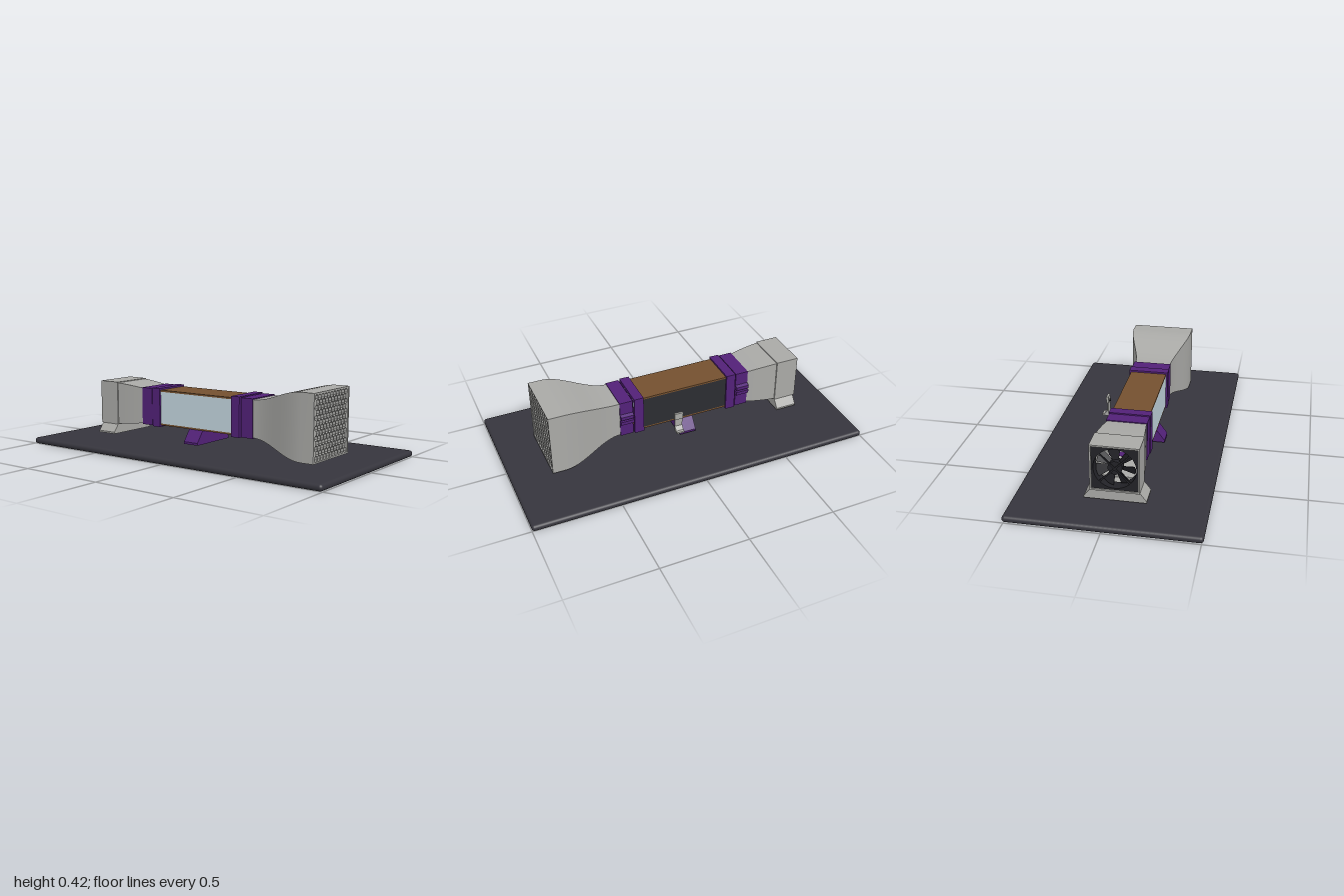
import * as THREE from 'three';
import { toCreasedNormals } from 'three/addons/utils/BufferGeometryUtils.js';
import { RoundedBoxGeometry } from 'three/addons/geometries/RoundedBoxGeometry.js';

const mat = (name, color) => {
  const m = new THREE.MeshStandardMaterial({ color });
  m.name = name;
  return m;
};

export function createModel() {
  const baseDark = mat('charcoal base', 0x36353d);
  const grey = mat('light grey plastic', 0xa9a9a6);
  const purple = mat('purple plastic', 0x522178);
  const wood = mat('brown wood', 0x74502f);
  const black = mat('black panel', 0x2b2c31);
  const glass = mat('pale glass', 0xc3d6df);
  const fanBlack = mat('fan black', 0x222227);

  const model = new THREE.Group();
  const tunnel = new THREE.Group(); // everything centred on the duct axis
  tunnel.name = 'windTunnel';
  tunnel.position.set(-0.025, 0.235, 0);
  model.add(tunnel);

  const add = (parent, name, geo, material, x = 0, y = 0, z = 0) => {
    const mesh = new THREE.Mesh(geo, material);
    mesh.name = name;
    mesh.position.set(x, y, z);
    parent.add(mesh);
    return mesh;
  };
  const box = (parent, name, material, w, h, d, x, y, z) =>
    add(parent, name, new THREE.BoxGeometry(w, h, d), material, x, y, z);
  const poly = (pts) => new THREE.Shape(pts.map(([x, y]) => new THREE.Vector2(x, y)));
  const square = (h) => [[-h, -h], [h, -h], [h, h], [-h, h]];
  const extrude = (shape, depth, curveSegments = 32) =>
    new THREE.ExtrudeGeometry(shape, { depth, bevelEnabled: false, curveSegments });

  // Hollow square duct along z from a list of [z, half width]
  const duct = (profile, wall) => {
    const outer = profile.map(([z, h]) => new THREE.Vector2(h * Math.SQRT2, z));
    const inner = profile.map(([z, h]) => new THREE.Vector2((h - wall) * Math.SQRT2, z)).reverse();
    const g = new THREE.LatheGeometry([...outer, ...inner, outer[0].clone()], 4);
    g.rotateY(Math.PI / 4);
    g.rotateX(Math.PI / 2);
    return toCreasedNormals(g, 0.6);
  };

  // Base plate
  add(model, 'basePlate', new RoundedBoxGeometry(1.02, 0.036, 2, 4, 0.017), baseDark, 0, 0.018, 0);

  // Inlet contraction with an S-shaped profile
  const inlet = [[0.262, 0.102], [0.335, 0.104]];
  for (let i = 0; i <= 18; i++) {
    const t = i / 18;
    inlet.push([0.345 + 0.355 * t, 0.106 + 0.079 * t * t * (3 - 2 * t)]);
  }
  inlet.push([0.775, 0.185]);
  add(tunnel, 'inletContraction', duct(inlet, 0.008), grey);

  // Honeycomb flow straightener
  const comb = poly(square(0.178));
  const pitch = 0.031, rowStep = pitch * 0.866, cell = pitch / Math.sqrt(3) - 0.0018;
  for (let r = -6; r <= 6; r++) {
    for (let c = -6; c <= 6; c++) {
      const cx = (c + (r % 2 ? 0.5 : 0)) * pitch, cy = r * rowStep;
      if (Math.abs(cx) > 0.16 || Math.abs(cy) > 0.165) continue;
      const hex = new THREE.Path();
      for (let k = 0; k < 6; k++) {
        const a = Math.PI / 6 - k * Math.PI / 3;
        const x = cx + cell * Math.cos(a);
        const y = THREE.MathUtils.clamp(cy + cell * Math.sin(a), -0.1765, 0.1765);
        if (k) hex.lineTo(x, y); else hex.moveTo(x, y);
      }
      hex.closePath();
      comb.holes.push(hex);
    }
  }
  add(tunnel, 'honeycomb', extrude(comb, 0.05), grey, 0, 0, 0.722);

  // Test section: four walls
  const len = 0.62, mid = -0.06;
  box(tunnel, 'topWall', wood, 0.21, 0.01, len, 0, 0.1, mid);
  box(tunnel, 'bottomWall', wood, 0.21, 0.01, len, 0, -0.1, mid);
  box(tunnel, 'leftWall', black, 0.01, 0.19, len, 0.1, 0, mid);
  box(tunnel, 'rightWindow', glass, 0.01, 0.19, len, -0.1, 0, mid);

  // Flange rings and split clamps with ears on the left side
  const flange = poly(square(0.115));
  flange.holes.push(poly(square(0.098)));
  const clamp = poly([
    [0.113, 0.006], [0.13, 0.006], [0.13, 0.026], [0.111, 0.034], [0.111, 0.111],
    [-0.111, 0.111], [-0.111, -0.111], [0.111, -0.111], [0.111, -0.034], [0.13, -0.026],
    [0.13, -0.006], [0.104, -0.006], [0.104, -0.104], [-0.104, -0.104],
    [-0.104, 0.104], [0.104, 0.104], [0.104, 0.006],
  ]);
  for (const [name, zFlange, zClamp] of [['front', 0.203, 0.268], ['rear', -0.372, -0.455]]) {
    add(tunnel, name + 'Flange', extrude(flange, 0.056), purple, 0, 0, zFlange);
    add(tunnel, name + 'Clamp', extrude(clamp, 0.077), purple, 0, 0, zClamp);
    add(tunnel, name + 'ClampSeat', duct([[zClamp - 0.006, 0.106], [zClamp + 0.085, 0.106]], 0.008),
      purple).scale.set(0.975, 0.975, 1);
  }

  // Sloping stand under the test section
  add(tunnel, 'centreStand', extrude(poly([[-0.15, -0.185], [0.15, -0.185], [0.15, -0.172],
    [0.1, -0.105], [-0.1, -0.105], [-0.15, -0.172]]), 0.098), purple, 0, 0, -0.105);

  // Probe rod standing in the air stream
  add(tunnel, 'probeRod', new THREE.CylinderGeometry(0.008, 0.008, 0.19, 16), grey, -0.005, -0.03, 0.14);
  add(tunnel, 'probeFoot', new THREE.CylinderGeometry(0.012, 0.014, 0.03, 16), grey, -0.005, -0.085, 0.14);

  // Diffuser and fan housing
  const diffuser = [[-0.775, 0.13], [-0.64, 0.13], [-0.638, 0.126]];
  for (let i = 0; i <= 10; i++) {
    const t = i / 10;
    diffuser.push([-0.63 + 0.175 * t, 0.125 - 0.019 * t * (0.6 + 0.4 * t)]);
  }
  diffuser.push([-0.375, 0.103]);
  add(tunnel, 'diffuser', duct(diffuser, 0.009), grey);
  add(tunnel, 'fanFoot', extrude(poly([[-0.165, -0.185], [0.165, -0.185], [0.165, -0.175],
    [0.128, -0.128], [-0.128, -0.128], [-0.165, -0.175]]), 0.125), grey, 0, 0, -0.765);

  // Fan: frame, hub, struts and pitched blades
  const fan = new THREE.Group();
  fan.name = 'fan';
  fan.position.z = -0.735;
  tunnel.add(fan);
  const frame = poly(square(0.121));
  frame.holes.push(new THREE.Path().absarc(0, 0, 0.112, 0, Math.PI * 2, true));
  add(fan, 'fanFrame', extrude(frame, 0.065), fanBlack, 0, 0, -0.032);
  const hub = new THREE.CylinderGeometry(0.038, 0.038, 0.045, 32).rotateX(Math.PI / 2);
  add(fan, 'fanHub', hub, fanBlack);
  const bladeShape = new THREE.Shape();
  bladeShape.moveTo(-0.014, 0.03);
  bladeShape.lineTo(0.014, 0.03);
  bladeShape.quadraticCurveTo(0.03, 0.07, 0.042, 0.094);
  bladeShape.quadraticCurveTo(0.01, 0.112, -0.026, 0.104);
  bladeShape.quadraticCurveTo(-0.02, 0.06, -0.014, 0.03);
  const bladeGeo = extrude(bladeShape, 0.003, 8).rotateY(0.5);
  for (let i = 0; i < 7; i++) {
    add(fan, 'fanBlade', bladeGeo, fanBlack).rotation.z = (i / 7) * Math.PI * 2;
  }
  for (let i = 0; i < 2; i++) {
    box(fan, 'fanStrut', fanBlack, 0.228, 0.009, 0.005, 0, 0, -0.028).rotation.z = Math.PI / 4 + i * Math.PI / 2;
  }

  // Small L-shaped bracket beside the test section
  const bracket = new THREE.Group();
  bracket.name = 'sideBracket';
  bracket.position.set(0.177, 0.135, 0.03);
  model.add(bracket);
  const profile = poly([[0, 0], [0.038, 0], [0.038, 0.01], [0.024, 0.012], [0.006, 0.034],
    [0.006, 0.08], [0, 0.08]]);
  add(bracket, 'bracketArm', extrude(profile, 0.045), grey, 0, 0, -0.0225);
  box(bracket, 'bracketHead', grey, 0.013, 0.04, 0.05, 0.0065, 0.102, 0);
  const knob = new THREE.CylinderGeometry(0.007, 0.007, 0.012, 16).rotateZ(Math.PI / 2);
  add(bracket, 'bracketKnob', knob, fanBlack, -0.003, 0.093, 0);

  return model;
}
